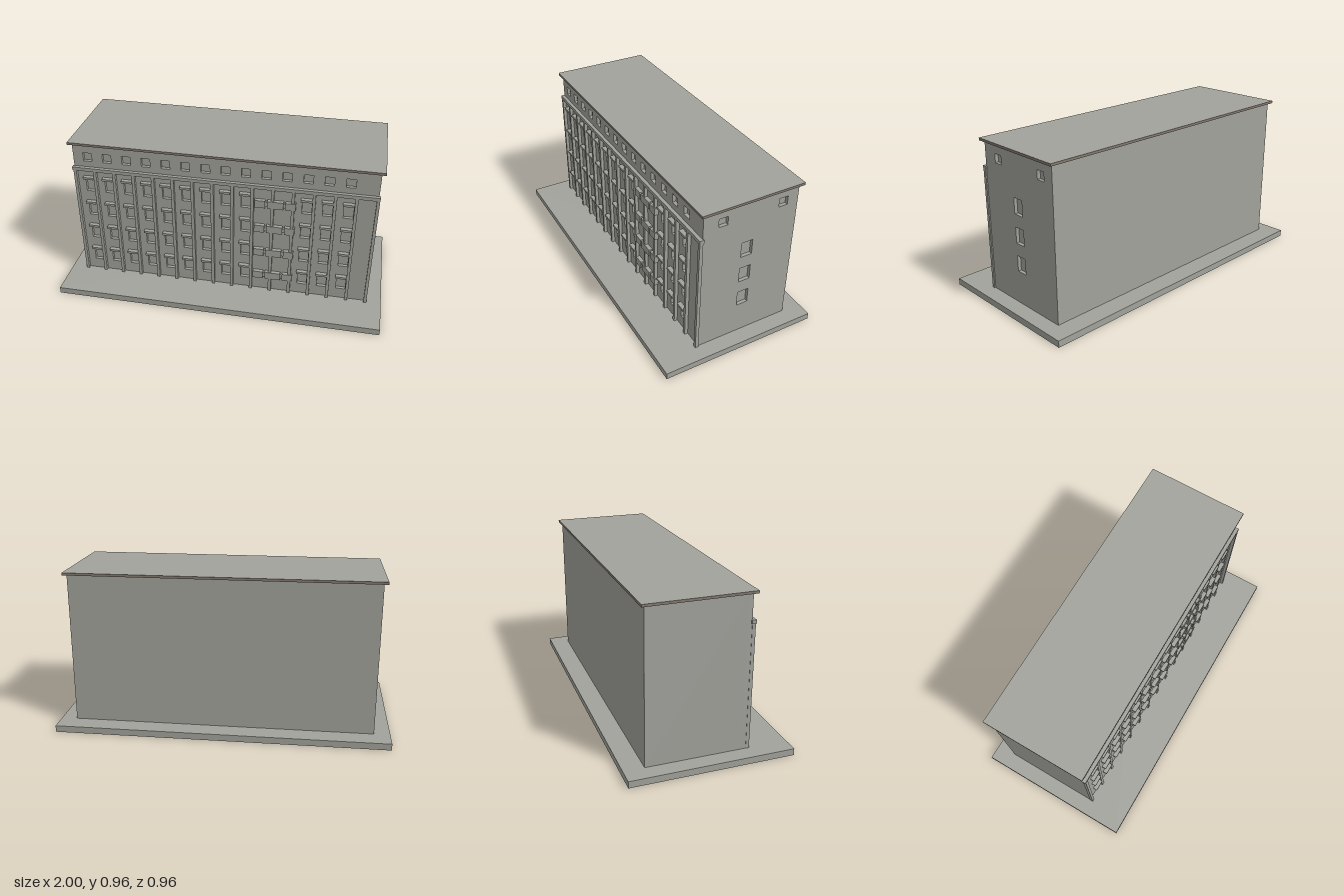
import * as THREE from 'three';

const stone = new THREE.MeshStandardMaterial({ color: 0xa3a39d });
stone.name = 'grey stone';
const trim = new THREE.MeshStandardMaterial({ color: 0x83786f });
trim.name = 'brown roof edge';

// Box given by its limits on each axis
function block(name, [x0, x1], [y0, y1], [z0, z1], material = stone) {
  const mesh = new THREE.Mesh(new THREE.BoxGeometry(x1 - x0, y1 - y0, z1 - z0), material);
  mesh.position.set((x0 + x1) / 2, (y0 + y1) / 2, (z0 + z1) / 2);
  mesh.name = name;
  return mesh;
}

// Flat wall in the xy plane with rectangular openings [x0, x1, y0, y1]
function wall(name, x0, x1, y0, y1, depth, openings) {
  const outline = (path, a, b, c, d) =>
    path.moveTo(a, c).lineTo(b, c).lineTo(b, d).lineTo(a, d).lineTo(a, c);
  const shape = outline(new THREE.Shape(), x0, x1, y0, y1);
  for (const o of openings) shape.holes.push(outline(new THREE.Path(), ...o));
  const mesh = new THREE.Mesh(new THREE.ExtrudeGeometry(shape, { depth, bevelEnabled: false }), stone);
  mesh.name = name;
  return mesh;
}

export function createModel() {
  const model = new THREE.Group();
  model.name = 'building';

  const X = 0.905, BACK = -0.36, FRONT = 0.228, BASE = 0.04, TOP = 0.95;
  const RECESS = 0.02, BAY = 0.12, FLOOR = 0.174;
  const bays = Array.from({ length: 14 }, (_, i) => -0.816 + i * BAY);
  const floors = [0, 1, 2, 3].map((i) => 0.11 + i * FLOOR);
  const isBalconyBay = (i) => i === 9 || i === 10;

  // Ground slab and solid core
  model.add(block('groundSlab', [-1, 1], [0, BASE], [-0.48, 0.48]));
  model.add(block('core', [-X, X - RECESS], [BASE, TOP], [BACK, FRONT - RECESS]));

  // Front wall with recessed windows and a lintel above each main window
  const openings = [];
  const lintels = new THREE.Group();
  lintels.name = 'lintels';
  bays.forEach((x, i) => {
    openings.push([x - 0.027, x + 0.027, 0.84, 0.895]);
    if (isBalconyBay(i)) return;
    for (const y of floors) {
      openings.push([x - 0.027, x + 0.029, y, y + 0.093]);
      lintels.add(block('lintel', [x - 0.035, x + 0.031], [y + 0.093, y + 0.107], [FRONT, 0.254]));
    }
  });
  const frontWall = wall('frontWall', -X, X, BASE, TOP, RECESS, openings);
  frontWall.position.z = FRONT - RECESS;
  model.add(frontWall, lintels);

  // Left side wall; its local x runs towards the back
  const sideOpenings = [0.24, 0.413, 0.587].map((y) => [0.018, 0.088, y, y + 0.096]);
  sideOpenings.push([-0.135, -0.08, 0.842, 0.895], [0.238, 0.293, 0.842, 0.895]);
  const sideWall = wall('sideWall', RECESS - FRONT, -BACK, BASE, TOP, RECESS, sideOpenings);
  sideWall.rotation.y = Math.PI / 2;
  sideWall.position.x = X - RECESS;
  model.add(sideWall);

  // Pilasters between the bays and at the corners
  const pilasters = new THREE.Group();
  pilasters.name = 'pilasters';
  for (const x of [-0.898, ...bays.map((b) => b + 0.041), 0.903]) {
    pilasters.add(block('pilaster', [x - 0.009, x + 0.009], [BASE, 0.78], [FRONT, 0.248]));
  }
  model.add(pilasters);
  model.add(block('cornice', [-0.913, 0.913], [0.78, 0.802], [FRONT - 0.005, 0.249]));

  // Balcony fronts joined by slimmer connecting pieces
  const balconies = new THREE.Group();
  balconies.name = 'balconies';
  for (const floor of floors) {
    const y = floor + 0.024;
    for (const span of [[0.2, 0.262], [0.274, 0.37], [0.382, 0.442]]) {
      balconies.add(block('balconyFront', span, [y, y + 0.048], [FRONT, 0.252]));
    }
    for (const x of [0.262, 0.37]) {
      balconies.add(block('balconyLink', [x, x + 0.012], [y + 0.008, y + 0.038], [FRONT, 0.243]));
    }
  }
  model.add(balconies);

  // Overhanging flat roof: grey top, brown edges
  model.add(block('roof', [-0.927, 0.927], [TOP, 0.965], [-0.38, 0.248],
    [trim, trim, stone, trim, trim, trim]));

  return model;
}
